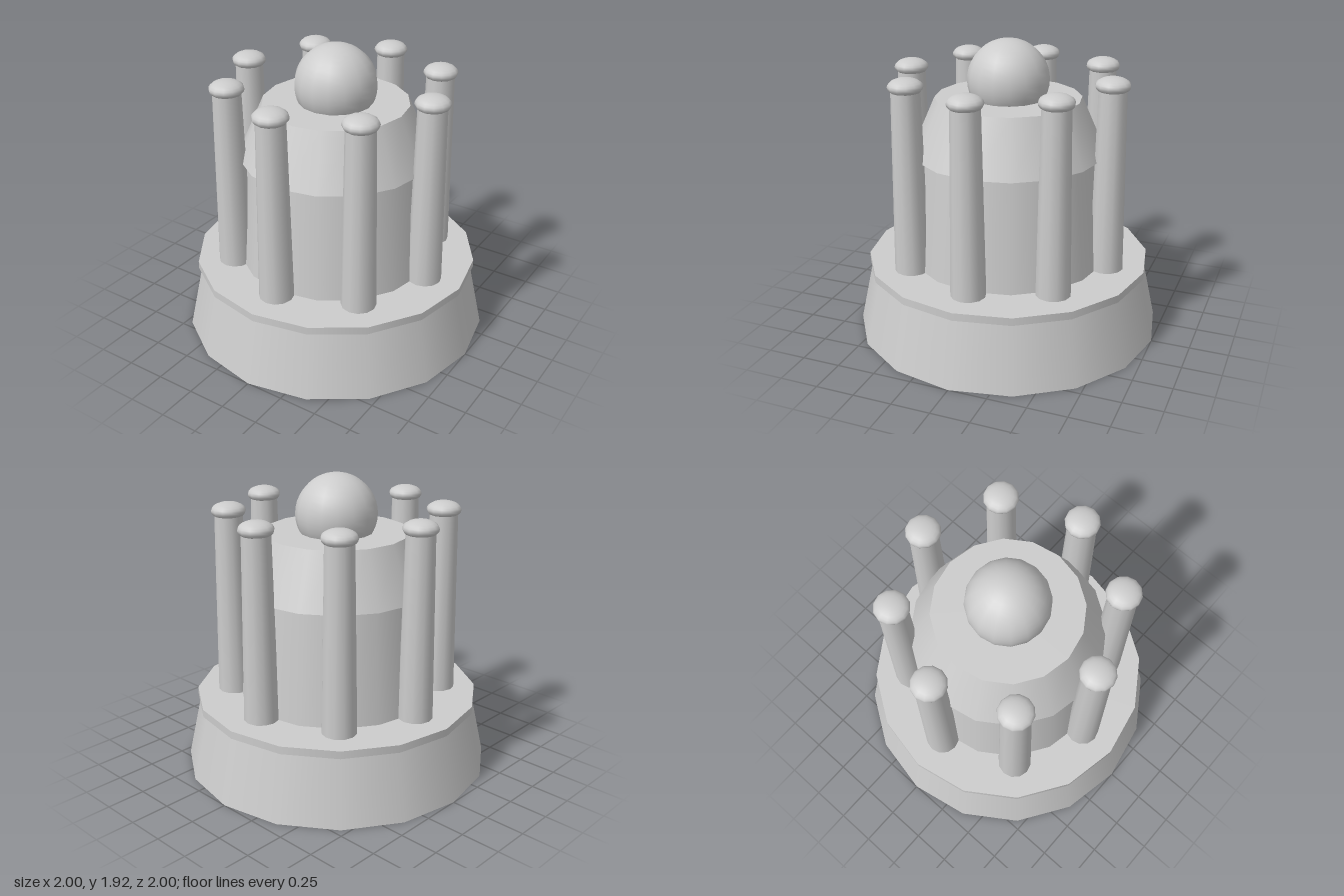
import * as THREE from 'three';

export function createModel() {
  const model = new THREE.Group();
  const stone = new THREE.MeshStandardMaterial({ color: 0xcccccc });
  stone.name = 'paleStone';

  const add = (name, geometry, x, y, z, parent = model) => {
    const mesh = new THREE.Mesh(geometry, stone);
    mesh.name = name;
    mesh.position.set(x, y, z);
    parent.add(mesh);
    return mesh;
  };
  // Tapered 16-sided drum standing between two heights
  const drum = (name, rTop, rBottom, y0, y1) =>
    add(name, new THREE.CylinderGeometry(rTop, rBottom, y1 - y0, 16), 0, (y0 + y1) / 2, 0);

  // Stepped base and tower
  drum('base', 0.905, 1, 0, 0.43);
  drum('baseRim', 0.924, 0.924, 0.43, 0.48);
  drum('towerWall', 0.57, 0.64, 0.48, 1.21);
  drum('towerRoof', 0.467, 0.62, 1.2, 1.55);
  add('dome', new THREE.SphereGeometry(0.26, 16, 20), 0, 1.66, 0);

  // Ring of eight columns with rounded caps
  const shaft = new THREE.CylinderGeometry(0.09, 0.11, 1.2, 12);
  const cap = new THREE.SphereGeometry(0.11, 12, 12).scale(1, 0.5, 1);
  for (let i = 0; i < 8; i++) {
    const a = (i * Math.PI) / 4;
    const column = new THREE.Group();
    column.name = 'column';
    column.position.set(0.675 * Math.sin(a), 0, 0.675 * Math.cos(a));
    add('columnShaft', shaft, 0, 1.08, 0, column);
    add('columnCap', cap, 0, 1.685, 0, column);
    model.add(column);
  }
  return model;
}
